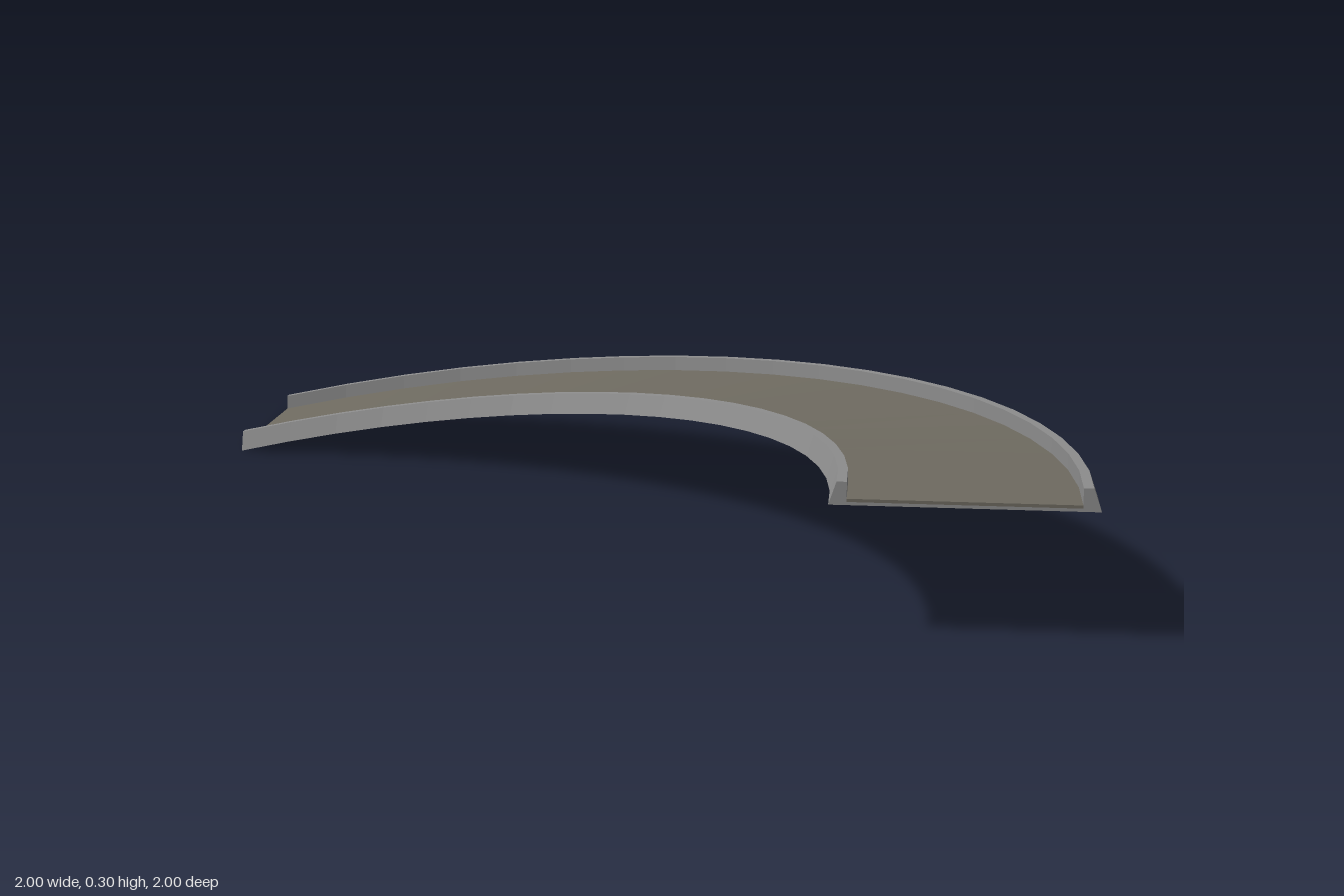
import * as THREE from 'three';

const SEGMENTS = 20;
const INNER = 1.5, OUTER = 2.0, RISE = 0.254;

// Point on the banked quarter turn: radius r, height h above the base, t from 0 to 1
function pointAt(r, h, t) {
  const angle = t * Math.PI / 2;
  const across = (r - INNER) / (OUTER - INNER);
  const power = THREE.MathUtils.lerp(2.15, 2.8, across);
  const y = RISE * (1 - Math.pow(1 - t, power)) + h;
  return [-1 + r * Math.sin(angle), y, 1 - r * Math.cos(angle)];
}

// Sweeps a convex clockwise (radius, height) profile round the turn, with end caps
function sweep(profile) {
  const pos = [];
  const n = profile.length;
  const at = (k, t) => pointAt(profile[k % n][0], profile[k % n][1], t);
  for (let i = 0; i < SEGMENTS; i++) {
    const t0 = i / SEGMENTS, t1 = (i + 1) / SEGMENTS;
    for (let k = 0; k < n; k++) {
      pos.push(...at(k, t0), ...at(k, t1), ...at(k + 1, t1));
      pos.push(...at(k, t0), ...at(k + 1, t1), ...at(k + 1, t0));
    }
  }
  for (let k = 1; k < n - 1; k++) {
    pos.push(...at(0, 0), ...at(k, 0), ...at(k + 1, 0));
    pos.push(...at(0, 1), ...at(k + 1, 1), ...at(k, 1));
  }
  const geometry = new THREE.BufferGeometry();
  geometry.setAttribute('position', new THREE.Float32BufferAttribute(pos, 3));
  geometry.computeVertexNormals();
  return geometry;
}

export function createModel() {
  const group = new THREE.Group();
  group.name = 'curvedRamp';
  const concrete = new THREE.MeshStandardMaterial({ color: 0x8c8c8c });
  concrete.name = 'concrete grey';
  const road = new THREE.MeshStandardMaterial({ color: 0x6e6a60 });
  road.name = 'road brown grey';

  const add = (name, profile, material) => {
    const mesh = new THREE.Mesh(sweep(profile), material);
    mesh.name = name;
    group.add(mesh);
  };
  const box = (r0, r1, y0, y1) => [[r0, y0], [r0, y1], [r1, y1], [r1, y0]];

  // Kerb rails, leaning in on their outer sides
  const w = 0.034, lean = 0.015, h = 0.044;
  add('innerRail', [[INNER, 0], [INNER + lean, h], [INNER + w, h], [INNER + w, 0]], concrete);
  add('outerRail', [[OUTER - w, 0], [OUTER - w, h], [OUTER - lean, h], [OUTER, 0]], concrete);

  // Slab between the rails and the road surface on it
  add('slab', box(INNER + w, OUTER - w, 0, 0.006), concrete);
  add('roadSurface', box(INNER + w, OUTER - w, 0.006, 0.012), road);
  return group;
}
